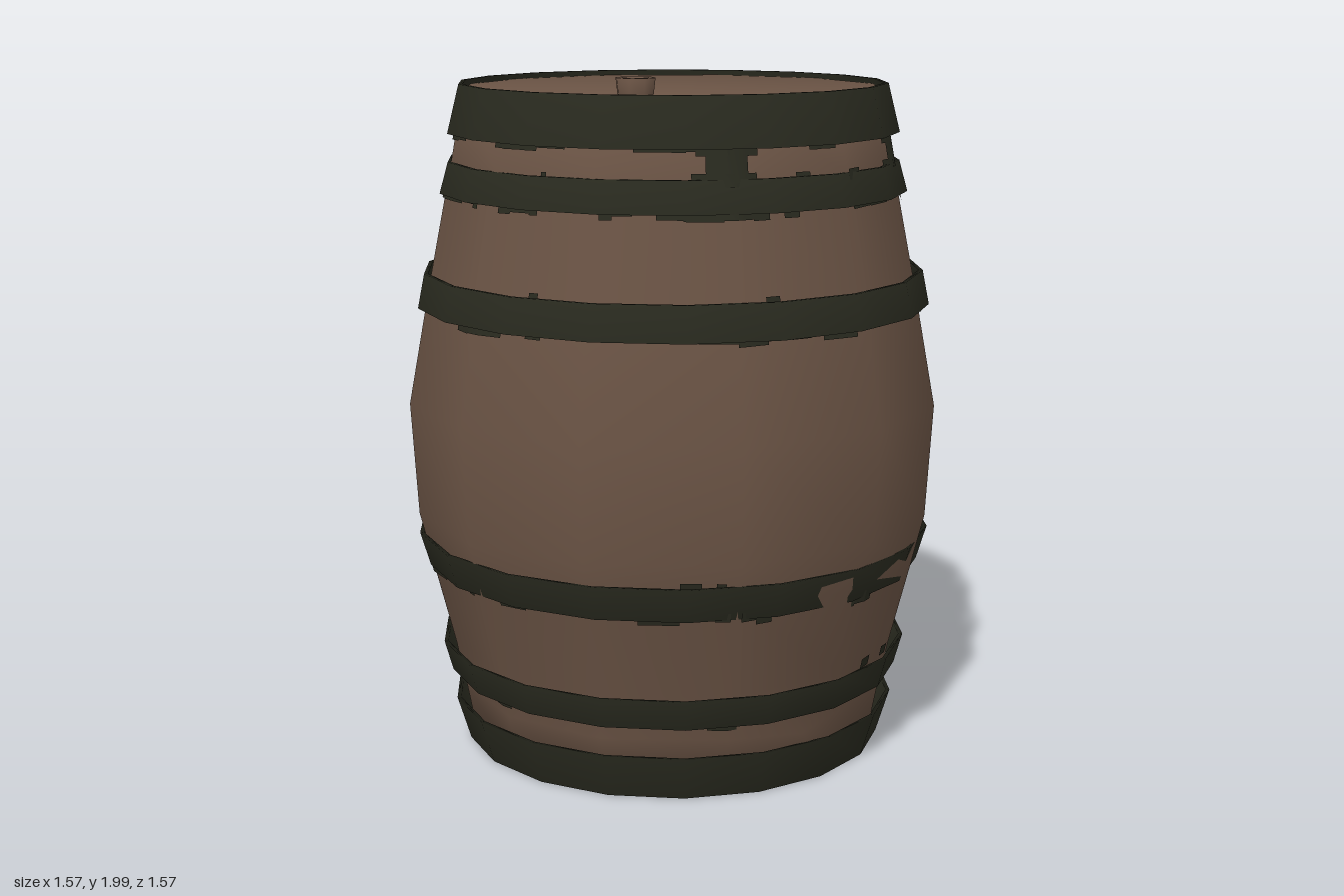
import * as THREE from 'three';

const rad = THREE.MathUtils.degToRad;
const SIDES = 12;
const UP = new THREE.Vector3(0, 1, 0);

// slightly uneven angles of the stave corners, in degrees from the front
const CORNERS = [-1.5, 31, 64, 92, 120, 151, 184, 220, 248, 275, 300, 329];
// outer stave profile: [radius, height]
const PROFILE = [
  [0.605, 0.02], [0.635, 0.18], [0.665, 0.32], [0.735, 0.6], [0.765, 0.72],
  [0.785, 1.05], [0.72, 1.4], [0.65, 1.75], [0.612, 1.955],
];
// corners that push out through the hoops: [corner, profile row, scale, turn in degrees]
const BULGES = [[2, 1, 1.055, -14], [3, 3, 1.03, -10], [2, 3, 1.025, -8], [6, 3, 1.025, 14], [9, 3, 1.025, 10]];
// hoops: [bottom y, top y, bottom radius, top radius]
const HOOPS = [
  [0.01, 0.14, 0.625, 0.665], [0.23, 0.32, 0.675, 0.70], [0.56, 0.66, 0.735, 0.765],
  [1.33, 1.43, 0.755, 0.735], [1.66, 1.75, 0.685, 0.66], [1.83, 1.97, 0.66, 0.625],
];

const lathe = (pts, sides) =>
  new THREE.LatheGeometry(pts.map(([r, y]) => new THREE.Vector2(r, y)), sides);

// barrel body with flat heads, softly shaded over the rims
function bodyGeometry() {
  const profile = [[0, 0.02], ...PROFILE, [0, 1.955]];
  const g = lathe(profile, SIDES);
  const { position, normal } = g.attributes;
  const v = new THREE.Vector3();
  for (let i = 0; i < position.count; i++) {
    const corner = Math.floor(i / profile.length) % SIDES;
    const row = i % profile.length - 1;
    const bulge = BULGES.find(b => b[0] === corner && b[1] === row);
    const turn = rad(CORNERS[corner] - corner * 360 / SIDES + (bulge ? bulge[3] : 0));
    const k = bulge ? bulge[2] : 1;
    v.fromBufferAttribute(position, i).applyAxisAngle(UP, turn);
    position.setXYZ(i, v.x * k, v.y, v.z * k);
    v.fromBufferAttribute(normal, i).applyAxisAngle(UP, turn);
    normal.setXYZ(i, v.x, v.y, v.z);
  }
  return g;
}

// point just outside the faceted staves at an angle and height
function onStaves(angle, y) {
  let i = 0;
  while (i < PROFILE.length - 2 && y > PROFILE[i + 1][1]) i++;
  const [r0, y0] = PROFILE[i], [r1, y1] = PROFILE[i + 1];
  const r = r0 + (r1 - r0) * (y - y0) / (y1 - y0);
  const first = rad(CORNERS[0]);
  const a = THREE.MathUtils.euclideanModulo(angle - first, Math.PI * 2) + first;
  let c = 0;
  while (c < SIDES - 1 && a > rad(CORNERS[c + 1])) c++;
  const start = rad(CORNERS[c]);
  const end = c < SIDES - 1 ? rad(CORNERS[c + 1]) : first + Math.PI * 2;
  const flat = r * Math.cos((end - start) / 2) / Math.cos(a - (start + end) / 2) + 0.007;
  return [Math.sin(a) * flat, y, Math.cos(a) * flat];
}

// stain patches: [start angle, end angle, bottom y, top y]
function stainGeometry(patches) {
  const pos = [], index = [];
  for (const [a0, a1, y0, y1] of patches) {
    const n = Math.max(1, Math.ceil((a1 - a0) / 0.06));
    const base = pos.length / 3;
    for (let i = 0; i <= n; i++) {
      const a = a0 + (a1 - a0) * i / n;
      pos.push(...onStaves(a, y0), ...onStaves(a, y1));
      if (i < n) {
        const k = base + i * 2;
        index.push(k, k + 2, k + 1, k + 1, k + 2, k + 3);
      }
    }
  }
  const g = new THREE.BufferGeometry();
  g.setAttribute('position', new THREE.Float32BufferAttribute(pos, 3));
  g.setIndex(index);
  g.computeVertexNormals();
  return g;
}

export function createModel() {
  const group = new THREE.Group();
  const material = (name, color) => {
    const m = new THREE.MeshStandardMaterial({ color, side: THREE.DoubleSide });
    m.name = name;
    return m;
  };
  const wood = material('brown wood', 0x6b5445);
  const iron = material('dark iron', 0x292a1f);
  const add = (name, geometry, mat) => {
    const mesh = new THREE.Mesh(geometry, mat);
    mesh.name = name;
    group.add(mesh);
    return mesh;
  };

  add('body', bodyGeometry(), wood);

  // iron hoops
  HOOPS.forEach(([y0, y1, r0, r1], i) => {
    const t = 0.012;
    add('hoop' + (i + 1),
      lathe([[r0 - t, y0], [r0, y0], [r1, y1], [r1 - t, y1], [r0 - t, y0]], 18), iron);
  });

  // ragged rust along the edges of the hoops
  let seed = 7;
  const random = () => (seed = (seed * 16807) % 2147483647) / 2147483647;
  const patches = [];
  HOOPS.slice(1).forEach(([y0, y1], i) => {
    let a = 0;
    while (a < Math.PI * 2 - 0.2) {
      const w = 0.04 + random() * 0.13;
      if (random() < 0.55) patches.push([a, a + w, y0 - 0.005 - random() * 0.018, y0 + 0.02]);
      if (i < 4 && random() < 0.1) patches.push([a, a + w * 0.6, y1 - 0.02, y1 + 0.01]);
      a += w;
    }
  });
  // wider runs between the two upper hoops
  for (const deg of [30, 93, 153, 215, 255]) {
    const a = rad(deg);
    patches.push([a - 0.09, a + 0.09, 1.74, 1.84], [a - 0.15, a + 0.13, 1.74, 1.765],
      [a - 0.13, a + 0.14, 1.81, 1.84]);
  }
  add('rustStains', stainGeometry(patches), iron);

  // hollow bung on the top head
  const bung = lathe([[0.052, 1.95], [0.058, 2.0], [0.04, 2.0], [0.036, 1.965], [0, 1.965]], 8);
  add('bung', bung, wood).position.z = 0.35;

  return group;
}
